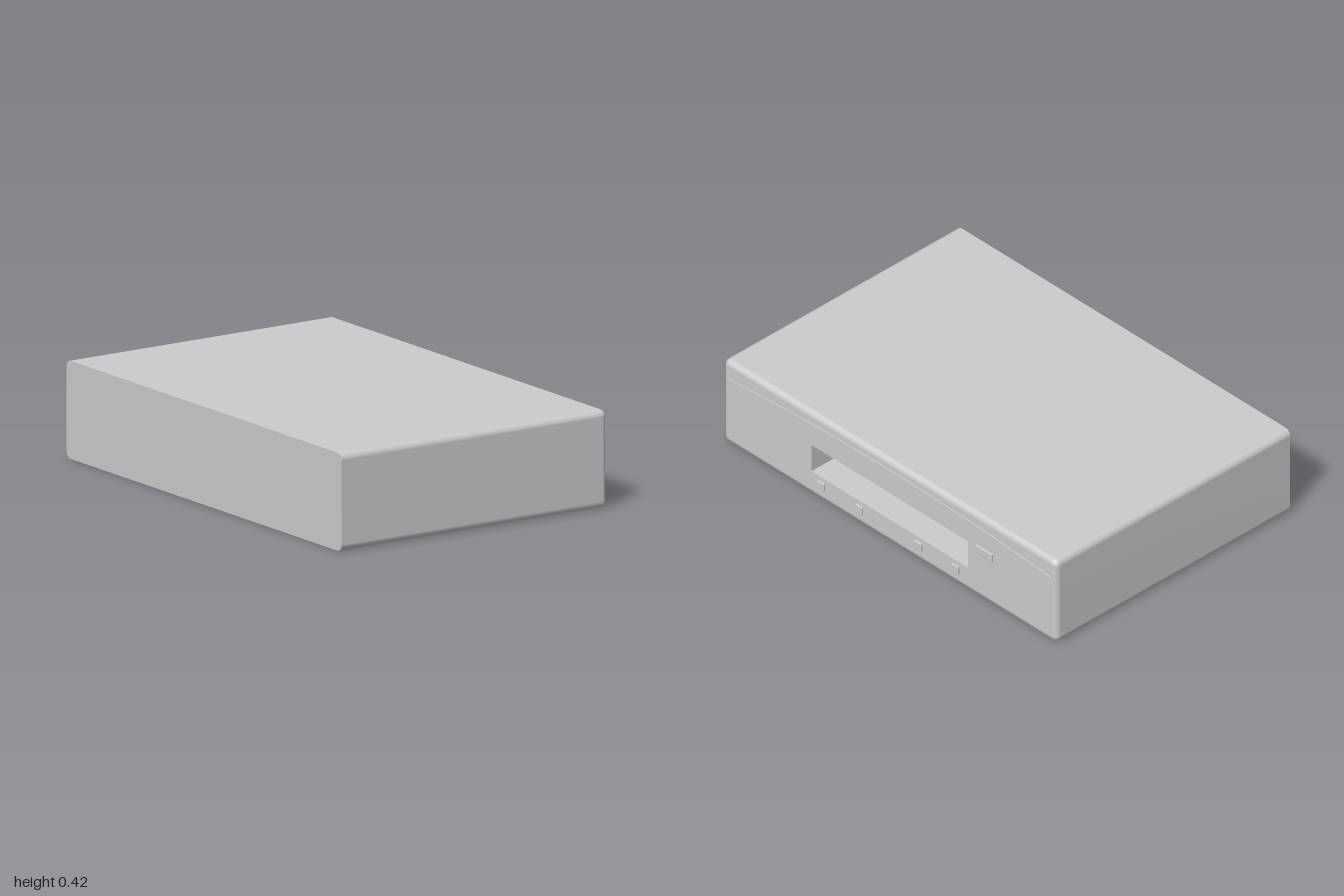
import * as THREE from 'three';
import { RoundedBoxGeometry } from 'three/addons/geometries/RoundedBoxGeometry.js';

const grey = new THREE.MeshStandardMaterial({ color: 0xcccccc });
const H = 0.42, BACK = -0.678, FACE = 0.67, R = 0.026;

function part(name, geometry, x = 0, y = 0, z = 0) {
  const mesh = new THREE.Mesh(geometry, grey);
  mesh.name = name;
  mesh.position.set(x, y, z);
  return mesh;
}

// Rounded rectangle outline, counter-clockwise, shrunk by inset
function outline(inset) {
  const pts = [], r = R + 0.004 - inset, steps = 6;
  const w = 1 - inset - r, h = H / 2 - inset - r;
  [[1, 1], [-1, 1], [-1, -1], [1, -1]].forEach(([sx, sy], q) => {
    for (let i = 0; i <= steps; i++) {
      const a = (q + i / steps) * Math.PI / 2;
      pts.push(new THREE.Vector2(sx * w + r * Math.cos(a), H / 2 + sy * h + r * Math.sin(a)));
    }
  });
  return pts;
}

// Side walls: outlines joined along x, curling in at the panel edge
function shellGeometry() {
  const rings = [[BACK, 0], [0, 0]];
  for (let i = 0; i <= 6; i++) {
    const a = i / 6 * Math.PI / 2;
    rings.push([FACE - R + R * Math.sin(a), R * (1 - Math.cos(a))]);
  }
  const pos = [], index = [], n = outline(0).length;
  rings.forEach(([x, inset], k) => {
    outline(inset).forEach((p, i) => {
      pos.push(x, p.y, -p.x);
      if (k === 0) return;
      const a = (k - 1) * n + i, b = (k - 1) * n + (i + 1) % n;
      index.push(a, b, b + n, a, b + n, a + n);
    });
  });
  const g = new THREE.BufferGeometry();
  g.setAttribute('position', new THREE.Float32BufferAttribute(pos, 3));
  g.setIndex(index);
  g.computeVertexNormals();
  return g;
}

export function createModel() {
  const model = new THREE.Group();
  model.name = 'enclosure';
  model.add(part('shell', shellGeometry()));

  // Flat closing plate on the left-hand x end
  const plate = new THREE.ShapeGeometry(new THREE.Shape(outline(0)));
  plate.rotateY(-Math.PI / 2);
  model.add(part('closingPlate', plate, BACK));

  // Panel with the slot opening
  const sw = 0.47, y0 = 0.117, y1 = 0.252, depth = 0.5;
  const panel = new THREE.Shape(outline(R));
  panel.holes.push(new THREE.Path([[-sw, y0], [-sw, y1], [sw, y1], [sw, y0]]
    .map(([u, v]) => new THREE.Vector2(u, v))));
  model.add(part('panel', new THREE.ShapeGeometry(panel).rotateY(Math.PI / 2), FACE));

  // Slot interior: inward-facing box without its outer face
  const slot = new THREE.BoxGeometry(depth, y1 - y0, 2 * sw);
  slot.scale(-1, 1, 1);
  const keep = Array.from(slot.index.array);
  keep.splice(6, 6);
  slot.setIndex(keep);
  slot.computeVertexNormals();
  model.add(part('slotInterior', slot, FACE - depth / 2, (y0 + y1) / 2));

  // Slim arched ridge over the panel
  const arch = new THREE.Shape();
  arch.moveTo(-0.975, 0.328);
  arch.quadraticCurveTo(0, 0.4, 0.975, 0.328);
  arch.lineTo(0.975, 0.332);
  arch.quadraticCurveTo(0, 0.416, -0.975, 0.332);
  const ridge = new THREE.ExtrudeGeometry(arch, { depth: 0.02, bevelEnabled: false, curveSegments: 32 });
  model.add(part('archedRidge', ridge.rotateY(Math.PI / 2), FACE - 0.014));

  // Buttons below the slot and the indicator beside it
  for (const z of [0.41, 0.18, -0.175, -0.397]) {
    model.add(part('button', new RoundedBoxGeometry(0.02, 0.04, 0.042, 2, 0.004), FACE - 0.002, 0.075, z));
  }
  model.add(part('indicator', new RoundedBoxGeometry(0.02, 0.04, 0.1, 2, 0.004), FACE - 0.002, 0.245, -0.57));
  return model;
}
